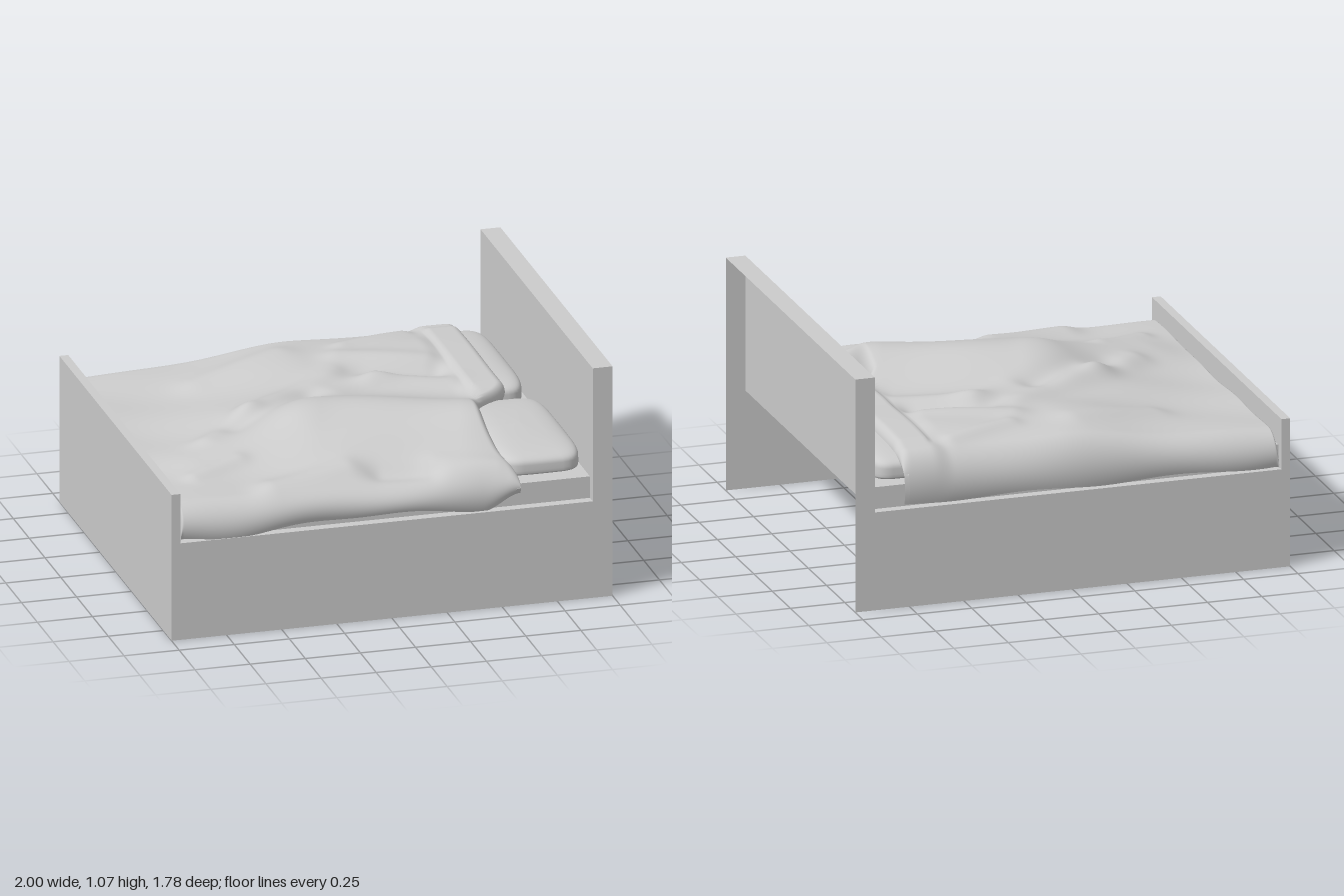
import * as THREE from 'three';

const material = new THREE.MeshStandardMaterial({ color: 0xcccccc, side: THREE.DoubleSide });
const { smoothstep, clamp } = THREE.MathUtils;
const Z0 = -0.894, Z1 = 0.88, ZC = (Z0 + Z1) / 2, WIDTH = Z1 - Z0;

function part(name, geometry, parent) {
  const mesh = new THREE.Mesh(geometry, material);
  mesh.name = name;
  parent.add(mesh);
  return mesh;
}

// Thin upright board across the bed
function crossBoard(name, x, y0, y1, parent) {
  const board = part(name, new THREE.PlaneGeometry(WIDTH, y1 - y0), parent);
  board.rotation.y = Math.PI / 2;
  board.position.set(x, (y0 + y1) / 2, ZC);
}

// Thin level strip
function ledge(name, x0, x1, y, z0, z1, parent) {
  const strip = part(name, new THREE.PlaneGeometry(x1 - x0, z1 - z0), parent);
  strip.rotation.x = -Math.PI / 2;
  strip.position.set((x0 + x1) / 2, y, (z0 + z1) / 2);
}

// Bell-shaped ridge along a segment: ax, az, bx, bz, width, height
function ridge(x, z, [ax, az, bx, bz, w, h]) {
  const dx = bx - ax, dz = bz - az;
  const t = clamp(((x - ax) * dx + (z - az) * dz) / (dx * dx + dz * dz), 0, 1);
  const d2 = (x - ax - t * dx) ** 2 + (z - az - t * dz) ** 2;
  return h * Math.exp(-d2 / (w * w));
}

const RIDGES = [
  // broad body-shaped swells
  [-0.13, 0.2, 0.45, 0.38, 0.29, 0.118],
  [0.0, -0.55, 0.6, -0.48, 0.28, 0.06],
  [-0.75, 0.4, -0.3, 0.25, 0.16, 0.025],
  // folds and creases
  [-0.65, 0.2, -0.4, 0.0, 0.07, 0.024],
  [-0.4, 0.0, 0.1, -0.33, 0.08, 0.03],
  [0.02, -0.12, 0.24, -0.22, 0.08, 0.022],
  [0.24, -0.22, 0.55, -0.12, 0.08, 0.028],
  [0.15, -0.5, 0.5, -0.36, 0.07, 0.02],
  [0.15, -0.32, 0.5, -0.26, 0.07, -0.025],
  [-0.5, 0.12, -0.1, -0.1, 0.07, -0.022],
  [-0.8, 0.55, -0.58, 0.46, 0.05, 0.016],
  [-0.5, 0.74, -0.15, 0.68, 0.08, 0.03],
  [0.2, -0.62, 0.5, -0.72, 0.05, 0.018],
  [-0.5, -0.5, -0.1, -0.62, 0.08, 0.016],
  [0.0, 0.72, 0.2, 0.76, 0.06, -0.02],
  [0.25, 0.72, 0.5, 0.78, 0.07, 0.015],
];

// Rounded shoulder from 0 at the hem to 1 at distance r
function shoulder(d, r) {
  const t = clamp(d / r, 0, 1);
  return Math.sqrt(1 - (1 - t) ** 2);
}

function blanketGeometry() {
  const geo = new THREE.PlaneGeometry(2, 2, 140, 140);
  geo.rotateX(-Math.PI / 2);
  const pos = geo.attributes.position;
  for (let i = 0; i < pos.count; i++) {
    // rows bunch up towards the hems, where the cloth turns down
    const u = Math.sin(pos.getX(i) * Math.PI / 2);
    const v = Math.sin(pos.getZ(i) * Math.PI / 2);
    let z = v * 0.897;
    // hem is turned back further on the front half
    const headEdge = 0.585 + 0.2 * (1 - smoothstep(z, -0.02, 0.24))
      - 0.025 * Math.exp(-(((z - 0.52) / 0.18) ** 2)) + 0.02 * smoothstep(z, 0.65, 0.85);
    let x = -0.957 + (u + 1) / 2 * (headEdge + 0.957);

    let top = 0.605 + 0.045 * smoothstep(x, -0.95, -0.2) * (1 - smoothstep(z, 0.45, 0.8));
    for (const r of RIDGES) top += ridge(x, z, r);
    top += 0.004 * Math.sin(9 * x + 5 * z) + 0.004 * Math.sin(13 * z - 6 * x);
    // settles over the pillow, with a turned-over cuff
    const overPillow = smoothstep(x, 0.53, 0.62) * (1 - smoothstep(z, -0.05, 0.2));
    top += (0.695 - top) * overPillow * 0.85;
    top += 0.015 * smoothstep(x, 0.595, 0.615) * smoothstep(z, -0.76, -0.7) * (1 - smoothstep(z, 0.1, 0.25));

    const frontHem = 0.455 + 0.035 * Math.exp(-(((x + 0.1) / 0.3) ** 2))
      + 0.01 * Math.sin(11 * x) + 0.06 * smoothstep(x, 0.42, 0.58);
    const backHem = 0.46 + 0.008 * Math.sin(9 * x);
    const hem = z > 0 ? frontHem : backHem;
    const sides = shoulder(0.897 - Math.abs(z), 0.13);
    let y = hem + (top - hem) * sides;
    const headHem = Math.min(y, z > 0.2 ? 0.54 : 0.6);
    const head = shoulder(headEdge - x, 0.06);
    y = headHem + (y - headHem) * head;
    y = 0.45 + (y - 0.45) * shoulder(x + 0.957, 0.015);

    // hems tuck back under, with slight waviness
    const hang = (1 - sides) ** 2;
    z += Math.sign(z) * (0.008 * (1 - sides) * Math.sin(8 * x + 1) - 0.03 * hang);
    x -= 0.04 * (1 - head) ** 2;
    pos.setXYZ(i, x, y, z);
  }
  geo.computeVertexNormals();
  return geo;
}

// Soft cushion with squared outline, flat base and crowned top
function pillowGeometry(hx, height, hz) {
  const geo = new THREE.SphereGeometry(1, 48, 32);
  const pos = geo.attributes.position;
  const soften = (n, p) => Math.sign(n) * Math.abs(n) ** p;
  for (let i = 0; i < pos.count; i++) {
    const x = soften(pos.getX(i), 0.38), z = soften(pos.getZ(i), 0.38);
    const y = soften(pos.getY(i), 0.45);
    const crown = 0.85 + 0.15 * (1 - x * x) * (1 - z * z);
    const lift = y > 0 ? 0.3 + 0.7 * y * crown : 0.3 * (1 + y);
    pos.setXYZ(i, x * hx, lift * height, z * hz);
  }
  geo.computeVertexNormals();
  return geo;
}

export function createModel() {
  const bed = new THREE.Group();
  bed.name = 'bed';

  // Side panels, each with a low foot post and a tall head post
  const outline = new THREE.Shape([
    [-1, 0], [1, 0], [1, 1.07], [0.91, 1.07], [0.91, 0.45],
    [-0.96, 0.45], [-0.96, 0.68], [-1, 0.68],
  ].map(([x, y]) => new THREE.Vector2(x, y)));
  for (const [side, z, inward] of [['left', Z1, -0.045], ['right', Z0, 0.045]]) {
    part(side + 'SidePanel', new THREE.ShapeGeometry(outline), bed).position.z = z;
    ledge(side + 'RailTop', -0.96, 0.91, 0.45, Math.min(z, z + inward), Math.max(z, z + inward), bed);
  }

  // Headboard, open at the back, and footboard
  crossBoard('headboardPanel', 0.91, 0.45, 1.07, bed);
  ledge('headboardTop', 0.91, 1, 1.07, Z0, Z1, bed);
  crossBoard('footboardOuter', -1, 0, 0.68, bed);
  crossBoard('footboardInner', -0.96, 0.45, 0.68, bed);
  ledge('footboardTop', -1, -0.96, 0.68, Z0, Z1, bed);

  // Mattress: top and sides, open underneath
  const mattress = new THREE.Group();
  mattress.name = 'mattress';
  bed.add(mattress);
  ledge('mattressTop', -0.96, 0.91, 0.55, Z0 + 0.045, Z1 - 0.045, mattress);
  for (const z of [Z0 + 0.045, Z1 - 0.045]) {
    part('mattressSide', new THREE.PlaneGeometry(1.87, 0.1), mattress).position.set(-0.025, 0.5, z);
  }

  // Pillows
  part('backPillow', pillowGeometry(0.17, 0.122, 0.38), bed).position.set(0.72, 0.552, -0.44);
  part('frontPillow', pillowGeometry(0.19, 0.115, 0.38), bed).position.set(0.715, 0.552, 0.41);

  part('blanket', blanketGeometry(), bed);
  return bed;
}
